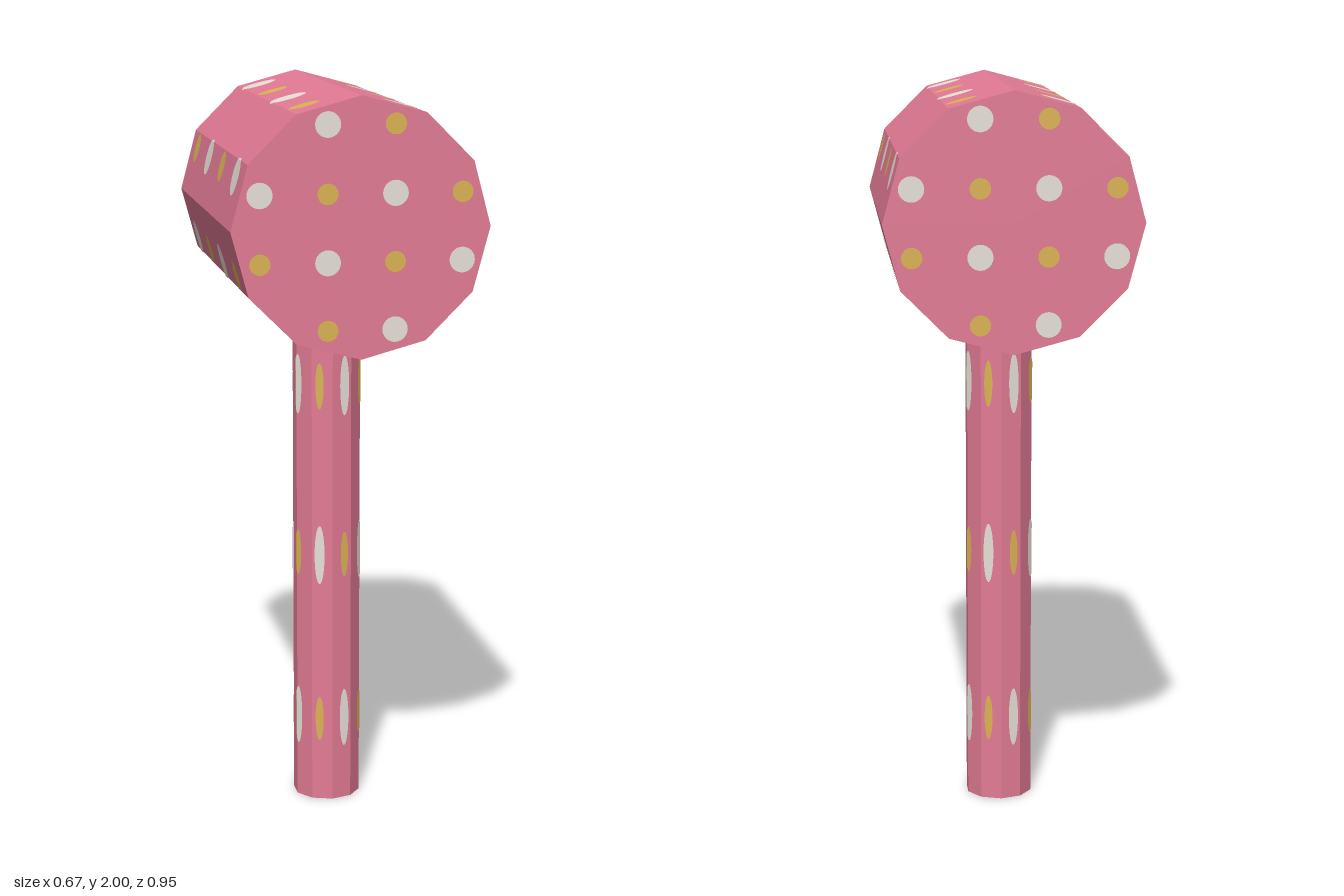
import * as THREE from 'three';
import { mergeGeometries } from 'three/addons/utils/BufferGeometryUtils.js';

const AROUND = 8; // dots around each cylinder
const LIFT = 0.002; // dots sit just above the surface

function material(name, color) {
  const m = new THREE.MeshStandardMaterial({ color, flatShading: true });
  m.name = name;
  return m;
}

function mesh(name, geometry, mat) {
  const m = new THREE.Mesh(geometry, mat);
  m.name = name;
  return m;
}

// Point on a faceted cylinder; turn is the fraction of the way around
function wrap(sides, r, turn, y) {
  const f = turn * sides;
  const i = Math.floor(f + 1e-9);
  const corner = (k) => {
    const a = (k / sides) * Math.PI * 2;
    return new THREE.Vector3(Math.sin(a) * r, y, Math.cos(a) * r);
  };
  return corner(i).lerp(corner(i + 1), f - i);
}

// Elliptical dot that bends over the facet edges
function wrappedDot(sides, r, turn, y, halfTurn, halfHeight) {
  const columns = [];
  for (let i = 0; i <= 16; i++) columns.push(-Math.cos((i / 16) * Math.PI));
  for (let k = 0; k <= sides; k++) {
    const s = (k / sides - turn) / halfTurn;
    if (Math.abs(s) < 0.999) columns.push(s);
  }
  columns.sort((a, b) => a - b);

  const positions = [];
  const index = [];
  columns.forEach((s, i) => {
    const h = halfHeight * Math.sqrt(Math.max(0, 1 - s * s));
    for (const side of [-1, 1]) {
      positions.push(...wrap(sides, r, turn + s * halfTurn, y + side * h).toArray());
    }
    if (i > 0) {
      const a = 2 * (i - 1);
      index.push(a, a + 2, a + 3, a, a + 3, a + 1);
    }
  });
  const g = new THREE.BufferGeometry();
  g.setAttribute('position', new THREE.Float32BufferAttribute(positions, 3));
  g.setIndex(index);
  g.computeVertexNormals();
  return g;
}

// Checkered rows of large and small dots around a cylinder
function dotRows(name, sides, r, rows, large, small, mats) {
  const sets = [[], []];
  rows.forEach((y, row) => {
    for (let k = 0; k < AROUND; k++) {
      const kind = (k + row) % 2;
      const [halfTurn, halfHeight] = kind === 0 ? large : small;
      sets[kind].push(wrappedDot(sides, r + LIFT, (k + 0.5) / AROUND, y, halfTurn, halfHeight));
    }
  });
  const group = new THREE.Group();
  group.name = name;
  group.add(
    mesh(name + 'Cream', mergeGeometries(sets[0]), mats.cream),
    mesh(name + 'Gold', mergeGeometries(sets[1]), mats.gold),
  );
  return group;
}

// Checkered dots on a flat end face, corners left out
function faceDots(name, z, mats) {
  const sets = [[], []];
  const step = 0.173;
  for (let row = 0; row < 4; row++) {
    for (let col = 0; col < 4; col++) {
      if (row % 3 === 0 && col % 3 === 0) continue;
      const cream = (row + col) % 2 === 1;
      const dot = new THREE.CircleGeometry(cream ? 0.033 : 0.027, 24);
      dot.translate((col - 1.5) * step, (1.5 - row) * step + 0.003, z + LIFT);
      sets[cream ? 0 : 1].push(dot);
    }
  }
  const group = new THREE.Group();
  group.name = name;
  group.add(
    mesh(name + 'Cream', mergeGeometries(sets[0]), mats.cream),
    mesh(name + 'Gold', mergeGeometries(sets[1]), mats.gold),
  );
  return group;
}

export function createModel() {
  const mats = {
    pink: material('pink', 0xe27a94),
    cream: material('cream', 0xe6e0d6),
    gold: material('gold', 0xdab252),
  };
  const model = new THREE.Group();
  model.name = 'mallet';

  // Head: twelve-sided drum lying along z
  const headR = 0.333;
  const headLength = 0.95;
  const head = new THREE.Group();
  head.name = 'head';
  head.position.y = 1.667;

  const barrel = new THREE.Group();
  barrel.name = 'barrel';
  barrel.rotation.x = Math.PI / 2;
  barrel.add(mesh('drum', new THREE.CylinderGeometry(headR, headR, headLength, 12), mats.pink));
  const headRows = [-1.5, -0.5, 0.5, 1.5].map((n) => (n * headLength) / 4);
  barrel.add(dotRows('drumDots', 12, headR, headRows, [0.0237, 0.0455], [0.0194, 0.0375], mats));
  head.add(barrel);

  // End faces, the back one turned half way round
  const front = faceDots('frontFaceDots', headLength / 2, mats);
  const back = faceDots('backFaceDots', headLength / 2, mats);
  back.rotation.y = Math.PI;
  head.add(front, back);

  // Handle: ten-sided pole reaching into the head
  const handleR = 0.093;
  const handleLength = 1.5;
  const handle = new THREE.Group();
  handle.name = 'handle';
  const pole = new THREE.CylinderGeometry(handleR, handleR, handleLength, 10);
  pole.translate(0, handleLength / 2, 0);
  handle.add(mesh('pole', pole, mats.pink));
  const handleRows = [0.2375, 0.7125, 1.1875];
  handle.add(dotRows('poleDots', 10, handleR, handleRows, [0.0237, 0.083], [0.0194, 0.064], mats));

  model.add(head, handle);
  return model;
}
